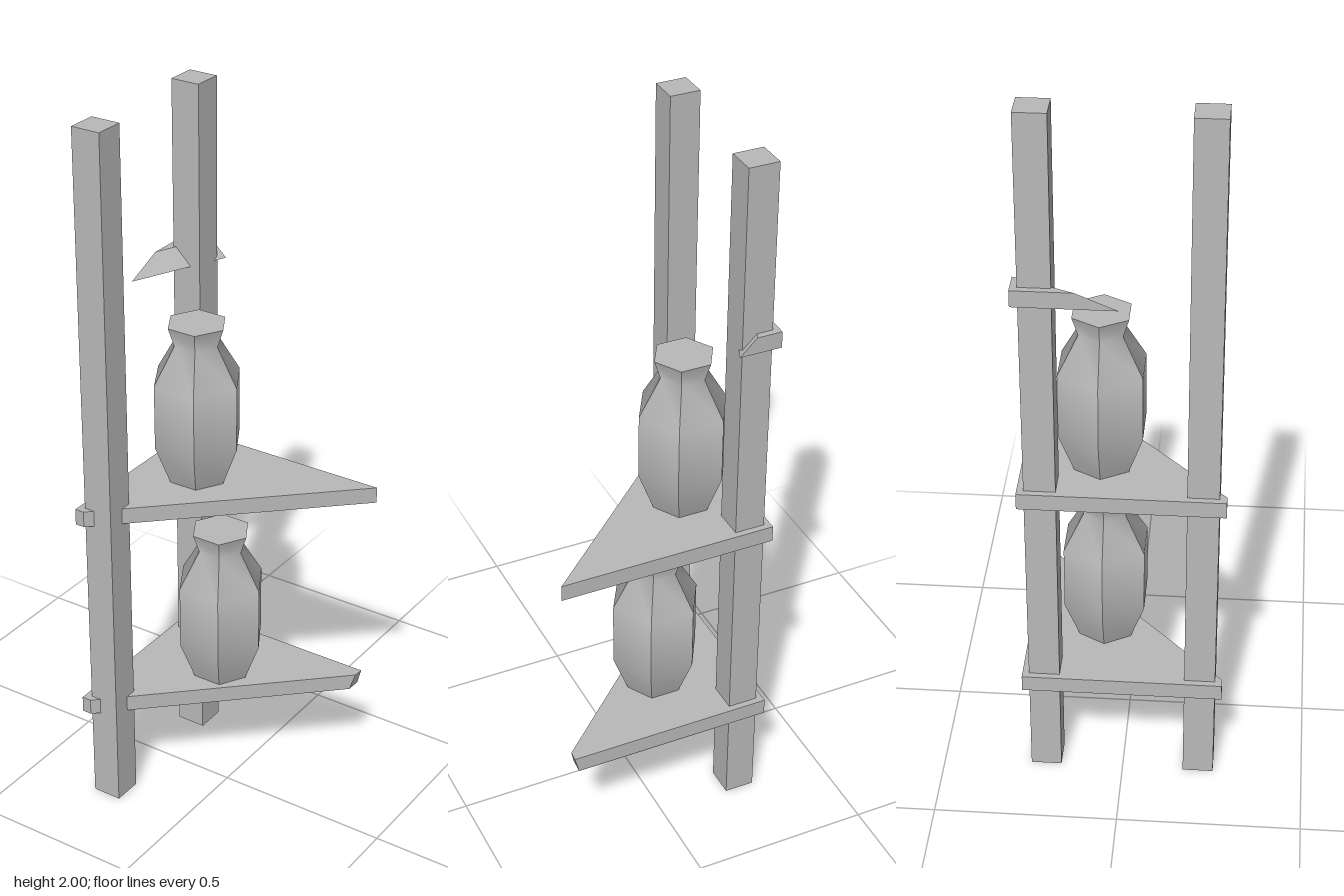
import * as THREE from 'three';
import { toCreasedNormals } from 'three/addons/utils/BufferGeometryUtils.js';
import { ConvexGeometry } from 'three/addons/geometries/ConvexGeometry.js';

export function createModel() {
  const model = new THREE.Group();
  model.name = 'cornerShelf';
  const grey = new THREE.MeshStandardMaterial({ color: 0xb8b8b8 });
  grey.name = 'plainGrey';

  const add = (name, geometry, x = 0, y = 0, z = 0) => {
    const mesh = new THREE.Mesh(geometry, grey);
    mesh.name = name;
    mesh.position.set(x, y, z);
    model.add(mesh);
  };

  // Board between a bottom and a top outline of [x, z] corners
  const board = (bottom, top, thickness = 0.046) => new ConvexGeometry([
    ...bottom.map(([x, z]) => new THREE.Vector3(x, 0, z)),
    ...top.map(([x, z]) => new THREE.Vector3(x, thickness, z)),
  ]);

  // Two square uprights
  const post = new THREE.BoxGeometry(0.084, 2, 0.084);
  add('backPost', post, -0.245, 1, -0.214);
  add('frontPost', post, -0.245, 1, 0.211);

  // Upper shelf: a triangle with a clipped front corner
  const corner = [[-0.305, -0.274], [-0.305, 0.272], [-0.278, 0.272]];
  const full = [...corner, [0.305, -0.274]];
  add('upperShelf', board(full, full), 0, 0.884, 0);

  // Lower shelf: same outline with its tip broken off at a slant
  add('lowerShelf', board(
    [...corner, [0.262, -0.234], [0.264, -0.274]],
    [...corner, [0.274, -0.245], [0.276, -0.274]],
  ), 0, 0.277, 0);

  // Broken remnant of the top shelf, around the back post
  add('shelfRemnant', board(
    [[-0.305, -0.274], [-0.187, -0.274], [-0.305, -0.005]],
    [[-0.305, -0.274], [-0.235, -0.274], [-0.305, -0.113]],
  ), 0, 1.488, 0);

  // Six-sided vases with closed tops
  const profile = [[0, 0], [0.083, 0], [0.127, 0.115], [0.127, 0.3], [0.066, 0.405], [0.084, 0.46], [0, 0.46]]
    .map(([r, y]) => new THREE.Vector2(r, y));
  const vase = toCreasedNormals(new THREE.LatheGeometry(profile, 6, Math.PI / 6), 0.9);
  add('upperVase', vase, -0.138, 0.93, -0.062);
  add('lowerVase', vase, -0.063, 0.323, -0.062);

  return model;
}
